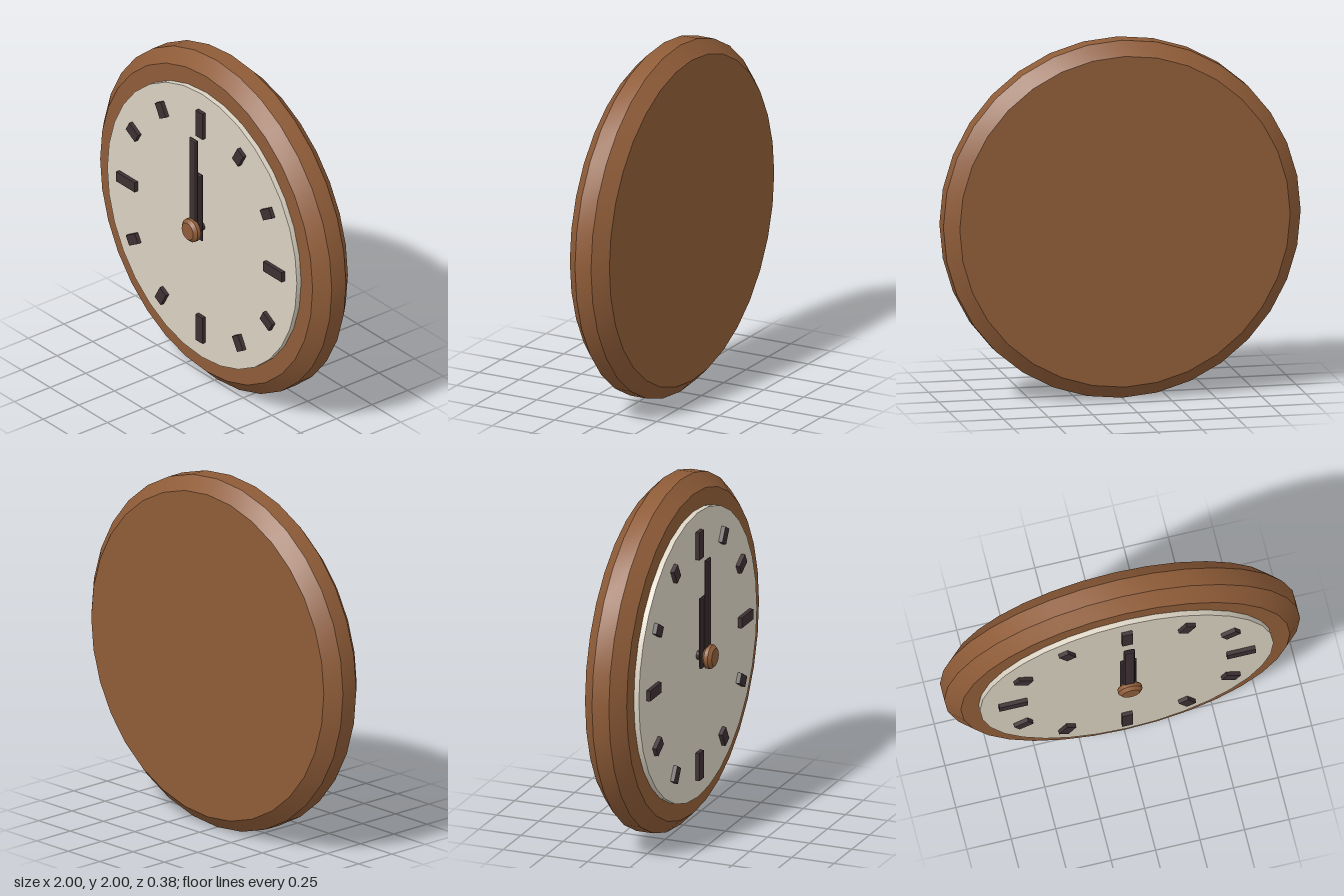
import * as THREE from 'three';
import { toCreasedNormals } from 'three/addons/utils/BufferGeometryUtils.js';

const material = (name, color) => {
  const m = new THREE.MeshStandardMaterial({ color });
  m.name = name;
  return m;
};

export function createModel() {
  const wood = material('brown wood', 0x8f5c38);
  const cream = material('cream dial', 0xdad2c2);
  const dark = material('dark markers', 0x3e3033);

  const group = new THREE.Group();
  group.name = 'wallClock';

  const add = (name, geometry, mat, x = 0, y = 1, z = 0) => {
    const mesh = new THREE.Mesh(geometry, mat);
    mesh.name = name;
    mesh.position.set(x, y, z);
    group.add(mesh);
    return mesh;
  };

  // Turned part around the z axis; profile is [radius, z] from back to front
  const turned = (profile, sides) => {
    const points = profile.map(([r, z]) => new THREE.Vector2(r, z));
    const geometry = new THREE.LatheGeometry(points, sides).rotateX(Math.PI / 2);
    return toCreasedNormals(geometry, 0.5);
  };

  // Case, dial, centre pin and knob
  add('case', turned([[0, -0.19], [0.925, -0.19], [1, -0.117], [1, -0.017], [0.925, 0.057], [0, 0.057]], 32), wood);
  add('dial', turned([[0, 0.05], [0.825, 0.05], [0.825, 0.087], [0, 0.087]], 32), cream);
  add('centrePin', turned([[0, 0.08], [0.025, 0.08], [0.025, 0.15], [0, 0.15]], 16), dark);
  add('knob', turned([[0, 0.133], [0.048, 0.133], [0.068, 0.15], [0.068, 0.172], [0.05, 0.19], [0, 0.19]], 20), wood);

  // Hour markers, longer at each quarter
  for (let i = 0; i < 12; i++) {
    const angle = (i * Math.PI) / 6;
    const quarter = i % 3 === 0;
    const r = quarter ? 0.64 : 0.673;
    const box = new THREE.BoxGeometry(0.06, quarter ? 0.16 : 0.09, 0.03);
    const marker = add('hourMarker' + (i || 12), box, dark, Math.sin(angle) * r, 1 + Math.cos(angle) * r, 0.095);
    marker.rotation.z = -angle;
  }

  // Bevelled bar for a hand, spanning bottom to top in y and back to front in z
  const hand = (name, halfWidth, bottom, top, back, front) => {
    const b = 0.007;
    const w = halfWidth - b;
    const shape = new THREE.Shape([
      new THREE.Vector2(-w, bottom + b), new THREE.Vector2(w, bottom + b),
      new THREE.Vector2(w, top - b), new THREE.Vector2(-w, top - b),
    ]);
    const geometry = new THREE.ExtrudeGeometry(shape, {
      depth: front - back - 2 * b, bevelEnabled: true, bevelSize: b, bevelThickness: b, bevelSegments: 1,
    });
    add(name, geometry, dark, 0, 0, back + b);
  };
  hand('hourHand', 0.046, 0.937, 1.348, 0.111, 0.133);
  hand('minuteHand', 0.031, 0.94, 1.565, 0.135, 0.156);

  return group;
}
